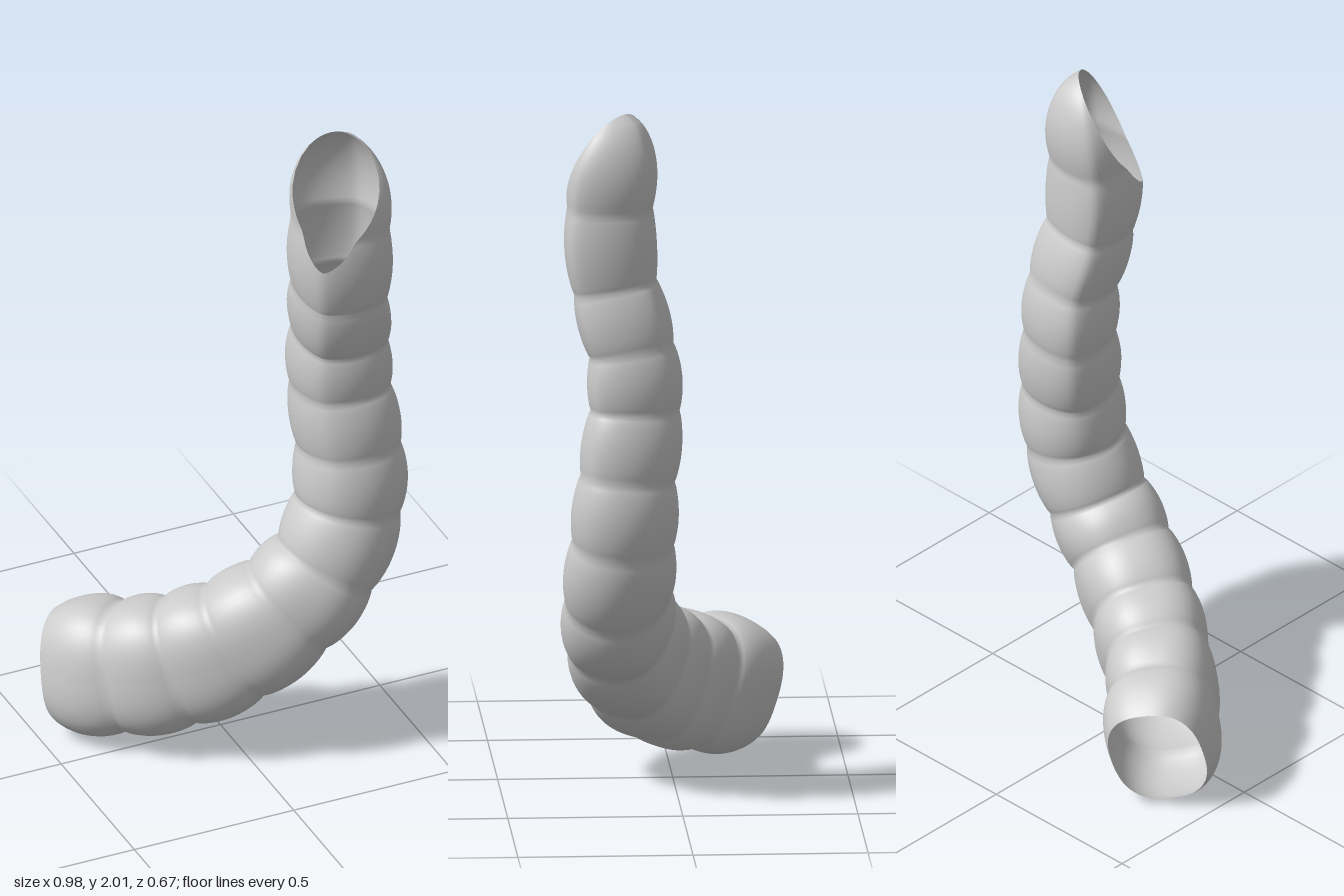
import * as THREE from 'three';

// Rings at the pinches, base to tip:
// centre x, y, z, half width, half height, twist, roundness power of the section
const RINGS = [
  [-0.385, 0.2, -0.242, 0.134, 0.166, 0.3, 2.6],
  [-0.265, 0.237, -0.09, 0.145, 0.183, 0.22, 2.6],
  [-0.135, 0.285, 0.015, 0.145, 0.183, 0.12, 2.6],
  [0.0, 0.363, 0.095, 0.145, 0.175, 0.05, 2.6],
  [0.14, 0.477, 0.15, 0.143, 0.163, 0, 2.4],
  [0.25, 0.6, 0.165, 0.142, 0.154, 0, 2.2],
  [0.325, 0.78, 0.155, 0.142, 0.152, 0.05, 1.95],
  [0.333, 0.97, 0.142, 0.137, 0.152, 0.12, 1.7],
  [0.315, 1.165, 0.12, 0.13, 0.149, 0.18, 1.6],
  [0.31, 1.34, 0.13, 0.125, 0.143, 0.2, 1.55],
  [0.288, 1.52, 0.175, 0.124, 0.143, 0.2, 1.5],
  [0.286, 1.75, 0.19, 0.128, 0.147, 0.2, 1.5],
  [0.3, 2.03, 0.155, 0.128, 0.147, 0.2, 1.6],
];
const LAST = RINGS.length - 1;
const SIDES = 64;
const ROWS = 12; // rows per segment
const TOP_ROWS = 34; // rows of the slanted mouth

const path = new THREE.CatmullRomCurve3(RINGS.map((r) => new THREE.Vector3(r[0], r[1], r[2])));
const sideways = new THREE.Vector3(-0.55, 0, 0.83);

// Slanted plane that cuts the mouth open
const cutNormal = new THREE.Vector3(-0.24, 0.17, 0.24);
const cutPoint = new THREE.Vector3(0.31, 2.0, 0.17);
const aboveCut = (p) => p.clone().sub(cutPoint).dot(cutNormal) > 0;

// Point on the skin; v counts rings, a is the angle round the tube
function skin(v, a) {
  const i = Math.min(Math.floor(v), LAST - 1);
  const w = v - i;
  const ring = (k) => THREE.MathUtils.lerp(RINGS[i][k], RINGS[i + 1][k], w);
  const t = path.getTangent(v / LAST);
  const s = sideways.clone().addScaledVector(t, -sideways.dot(t)).normalize();
  s.applyAxisAngle(t, -ring(5));
  const u = t.clone().cross(s);
  // Each segment swells between pinches; the final one is a dome
  const bulge = i === 0 ? 0.15 : 0.1;
  const swell = i === LAST - 1
    ? Math.sqrt(Math.max(0, 1 - Math.pow(w, 2.4))) * (1 + 0.35 * w * (1 - w))
    : 1 + bulge * Math.pow(Math.abs(Math.sin(Math.PI * w)), 0.75);
  // Rounded square section
  const c = Math.cos(a), n = Math.sin(a), power = ring(6);
  const r = swell * Math.pow(Math.pow(Math.abs(c), power) + Math.pow(Math.abs(n), power), -1 / power);
  return path.getPoint(v / LAST)
    .addScaledVector(s, ring(3) * r * c)
    .addScaledVector(u, ring(4) * r * n);
}

// Where the skin meets the slanted cut at one angle
function cutAt(a, start) {
  let lo = start;
  while (lo + 0.02 < LAST && !aboveCut(skin(lo + 0.02, a))) lo += 0.02;
  let hi = Math.min(lo + 0.02, LAST);
  for (let k = 0; k < 20; k++) {
    const mid = (lo + hi) / 2;
    if (aboveCut(skin(mid, a))) hi = mid; else lo = mid;
  }
  return lo;
}

export function createModel() {
  const start = LAST - 2;
  const straightRows = start * ROWS;
  const rows = straightRows + TOP_ROWS;
  const angles = Array.from({ length: SIDES }, (_, j) => (j / SIDES) * Math.PI * 2);
  const ends = angles.map((a) => cutAt(a, start));

  const positions = [];
  const index = [];
  for (let i = 0; i <= rows; i++) {
    angles.forEach((a, j) => {
      const v = i <= straightRows
        ? i / ROWS
        : start + (ends[j] - start) * ((i - straightRows) / TOP_ROWS);
      positions.push(...skin(v, a).toArray());
      if (i === rows) return;
      const p = i * SIDES + j, q = i * SIDES + ((j + 1) % SIDES);
      index.push(p, q, p + SIDES, q, q + SIDES, p + SIDES);
    });
  }
  const geometry = new THREE.BufferGeometry();
  geometry.setAttribute('position', new THREE.Float32BufferAttribute(positions, 3));
  geometry.setIndex(index);
  geometry.computeVertexNormals();

  // Centre it and stand it on the ground
  geometry.computeBoundingBox();
  const { min, max } = geometry.boundingBox;
  geometry.translate(-(min.x + max.x) / 2, -min.y, -(min.z + max.z) / 2);

  const tube = new THREE.Mesh(
    geometry,
    new THREE.MeshStandardMaterial({ color: 0xcccccc, side: THREE.DoubleSide })
  );
  tube.name = 'segmentedTube';
  const group = new THREE.Group();
  group.name = 'bentSegmentedTube';
  group.add(tube);
  return group;
}
